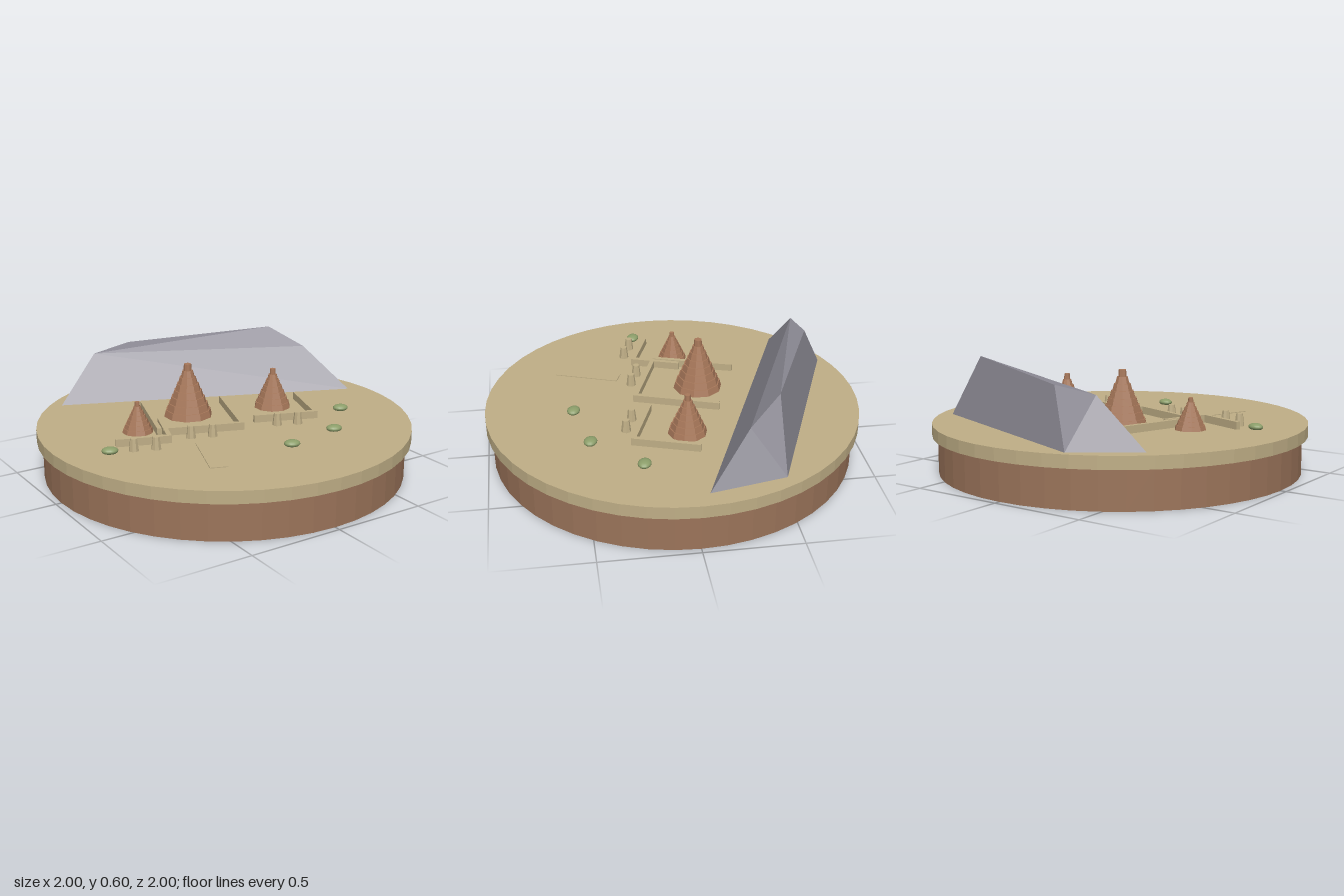
import * as THREE from 'three';
import { ConvexGeometry } from 'three/addons/geometries/ConvexGeometry.js';

const GROUND = 0.265;

function material(name, color) {
  const m = new THREE.MeshStandardMaterial({ color });
  m.name = name;
  return m;
}

// Faceted copy of a geometry
function flat(geometry) {
  const g = geometry.index ? geometry.toNonIndexed() : geometry;
  g.computeVertexNormals();
  return g;
}

export function createModel() {
  const model = new THREE.Group();
  model.name = 'desertVillage';

  const sand = material('sand', 0xbfae86);
  const soil = material('soil', 0x9b745a);
  const clay = material('clay', 0xa8785a);
  const rock = material('rock', 0x8c8a94);
  const scrub = material('scrub', 0x8c9e6a);

  const add = (name, geometry, mat, x = 0, y = 0, z = 0, parent = model) => {
    const mesh = new THREE.Mesh(geometry, mat);
    mesh.name = name;
    mesh.position.set(x, y, z);
    parent.add(mesh);
    return mesh;
  };

  // Round plinth and ground slab
  add('plinth', flat(new THREE.CylinderGeometry(0.97, 0.97, 0.2, 48)), soil, 0, 0.1, 0);
  add('groundSlab', flat(new THREE.CylinderGeometry(1, 1, 0.065, 48)), sand, 0, 0.2325, 0);

  // Mountain ridge: four foot corners and four crest corners
  const ridge = [
    [-0.64, GROUND, -0.68], [-0.34, GROUND, -0.9], [0.82, GROUND, -0.44], [0.9, GROUND, -0.05],
    [-0.4, 0.515, -0.74], [-0.17, 0.545, -0.76], [0.6, 0.6, -0.44], [0.73, 0.5, -0.27],
  ].map((p) => new THREE.Vector3(...p));
  add('mountainRidge', flat(new ConvexGeometry(ridge)), rock);

  // Stepped conical towers
  const tower = (x, z, radius, height, tiers) => {
    const points = [];
    const cap = radius * 0.17;
    for (let i = 0; i < tiers; i++) {
      const r = radius + (cap - radius) * (i / (tiers - 1));
      const next = radius + (cap - radius) * ((i + 1) / (tiers - 1));
      const upper = i === tiers - 1 ? r * 0.9 : r + (next - r) * 0.6;
      points.push(new THREE.Vector2(r, (height * i) / tiers));
      points.push(new THREE.Vector2(upper, (height * (i + 1)) / tiers));
    }
    points.push(new THREE.Vector2(0, height));
    add('tower', flat(new THREE.LatheGeometry(points, 10)), clay, x, GROUND, z);
  };
  tower(-0.13, -0.16, 0.133, 0.288, 8);
  tower(-0.49, -0.07, 0.082, 0.163, 7);
  tower(0.34, -0.03, 0.102, 0.218, 7);

  // Low courtyard walls, each from one ground point to another
  const walls = new THREE.Group();
  walls.name = 'courtyardWalls';
  model.add(walls);
  const wall = (x1, z1, x2, z2) => {
    const length = Math.hypot(x2 - x1, z2 - z1) + 0.02;
    const mesh = add('wall', new THREE.BoxGeometry(length, 0.04, 0.024), sand,
      (x1 + x2) / 2, GROUND + 0.02, (z1 + z2) / 2, walls);
    mesh.rotation.y = -Math.atan2(z2 - z1, x2 - x1);
  };
  [
    [-0.4, 0.055, -0.015, 0.195], [-0.015, 0.195, 0.13, -0.225], [-0.425, 0.04, -0.29, -0.375],
    [-0.68, 0.07, -0.435, 0.16], [-0.435, 0.16, -0.35, -0.08],
    [0.11, 0.14, 0.42, 0.255], [0.42, 0.255, 0.525, -0.06],
  ].forEach((w) => wall(...w));

  // Gate posts in pairs in front of each courtyard
  const postShape = flat(new THREE.CylinderGeometry(0.018, 0.026, 0.065, 8));
  [[-0.64, 0.165], [-0.535, 0.205], [-0.305, 0.16], [-0.2, 0.2], [0.18, 0.24], [0.285, 0.28]]
    .forEach(([x, z]) => add('gatePost', postShape, sand, x, GROUND + 0.0325, z));

  // Thin path laid on the ground
  const path = add('path', new THREE.BoxGeometry(0.09, 0.004, 0.35), sand, -0.35, GROUND + 0.002, 0.425);
  path.rotation.y = -0.35;

  // Low shrubs
  const shrubShape = new THREE.SphereGeometry(1, 16, 10);
  [[-0.755, 0.13], [0.06, 0.535], [0.38, 0.47], [0.62, 0.225]].forEach(([x, z]) => {
    const shrub = add('shrub', shrubShape, scrub, x, GROUND + 0.012, z);
    shrub.scale.set(0.042, 0.019, 0.034);
    shrub.rotation.y = -0.35;
  });

  return model;
}
